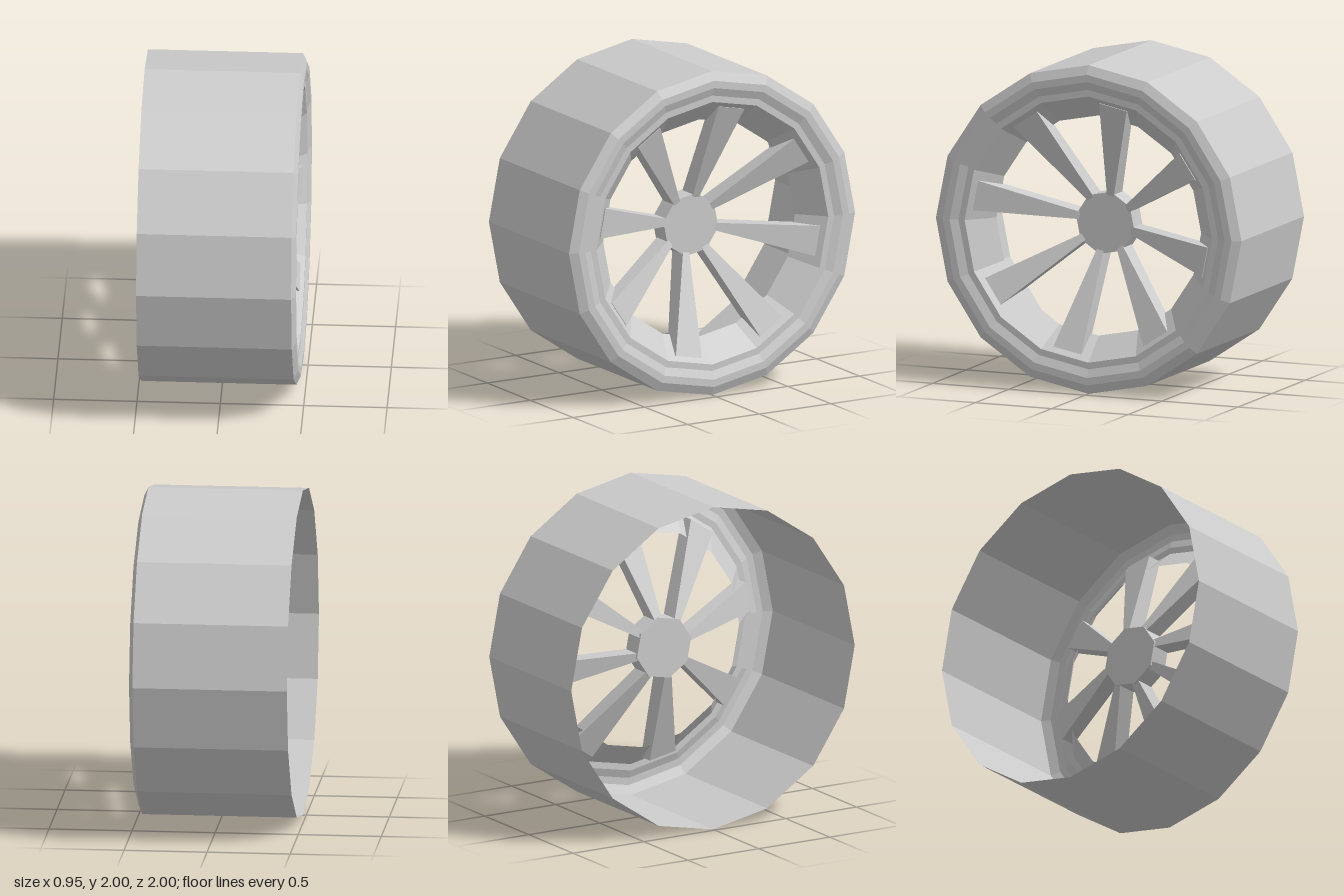
import * as THREE from 'three';

const material = new THREE.MeshStandardMaterial({
  color: 0xcccccc, flatShading: true, side: THREE.DoubleSide,
});

// Turned part around the x axis; profile points are [x, radius].
function turned(name, profile) {
  const points = profile.map(([x, r]) => new THREE.Vector2(r, x));
  const geometry = new THREE.LatheGeometry(points, 16);
  geometry.rotateZ(-Math.PI / 2);
  const mesh = new THREE.Mesh(geometry.toNonIndexed(), material);
  mesh.name = name;
  return mesh;
}

// Tapered bar that widens and leans outwards from hub to rim.
function spokeGeometry() {
  const hub = { r: 0.17, width: 0.045, front: 0.205, back: 0.08 };
  const tip = { r: 0.765, width: 0.185, front: 0.43, back: 0.33 };
  const geometry = new THREE.BoxGeometry(1, 1, 1);
  const p = geometry.attributes.position;
  for (let i = 0; i < p.count; i++) {
    const end = p.getY(i) > 0 ? tip : hub;
    p.setXYZ(i, p.getX(i) > 0 ? end.front : end.back, end.r, p.getZ(i) * end.width);
  }
  geometry.computeVertexNormals();
  return geometry;
}

export function createModel() {
  const wheel = new THREE.Group();
  wheel.name = 'wheel';

  // Tyre tread, bevelled shoulder and stepped side wall
  wheel.add(turned('tyre', [
    [-0.48, 1], [0.45, 1], [0.475, 0.945], [0.475, 0.9], [0.455, 0.85], [0.455, 0.81],
  ]));

  // Inward-sloping rim, open at the back
  wheel.add(turned('rim', [[0.455, 0.81], [0.3, 0.67]]));

  // Hub and spokes share one small turn
  const centre = new THREE.Group();
  centre.name = 'hubAndSpokes';
  centre.rotation.x = -Math.PI / 16;

  const hubGeometry = new THREE.CylinderGeometry(0.195, 0.195, 0.13, 8);
  hubGeometry.rotateZ(-Math.PI / 2);
  const hub = new THREE.Mesh(hubGeometry, material);
  hub.name = 'hub';
  hub.position.x = 0.14;
  centre.add(hub);

  const bar = spokeGeometry();
  for (let i = 0; i < 8; i++) {
    const spoke = new THREE.Mesh(bar, material);
    spoke.name = 'spoke';
    spoke.rotation.x = (i * Math.PI) / 4;
    centre.add(spoke);
  }
  wheel.add(centre);

  wheel.position.y = 1;
  const model = new THREE.Group();
  model.add(wheel);
  return model;
}
